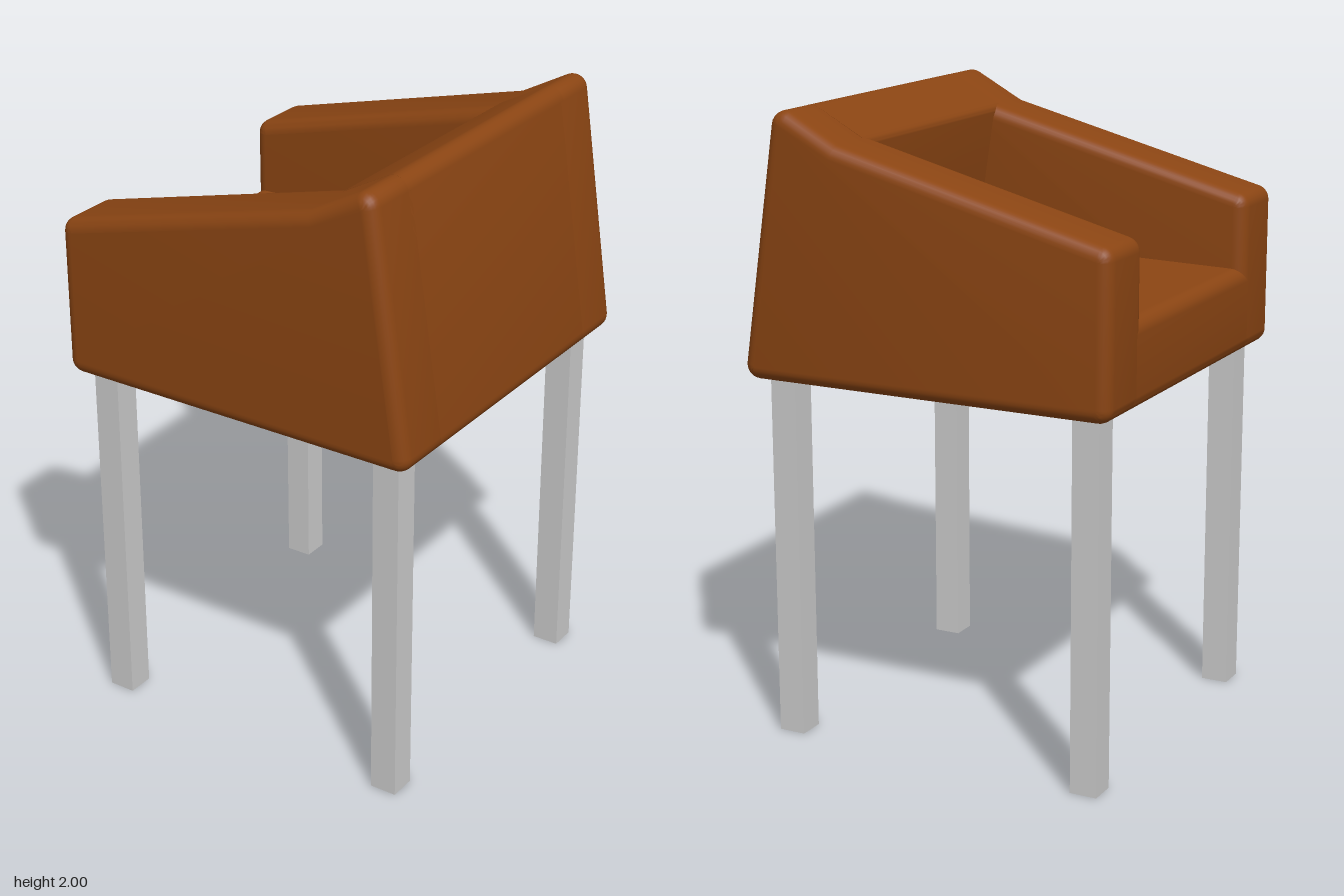
import * as THREE from 'three';
import { toCreasedNormals } from 'three/addons/utils/BufferGeometryUtils.js';

const BEVEL = 0.042;

// Closed side profile from corners [x, y, radius], with true arcs at the corners
function roundedProfile(corners, steps = 7) {
  const points = [];
  corners.forEach(([x, y, r], i) => {
    const p = new THREE.Vector2(x, y);
    if (!r) return points.push(p);
    const n = corners.length;
    const toward = (c) => new THREE.Vector2(c[0], c[1]).sub(p).normalize();
    const a = toward(corners[(i + n - 1) % n]);
    const b = toward(corners[(i + 1) % n]);
    const half = Math.acos(a.dot(b)) / 2;
    const centre = a.clone().add(b).normalize().multiplyScalar(r / Math.sin(half)).add(p);
    const reach = r / Math.tan(half);
    const start = a.multiplyScalar(reach).add(p).sub(centre);
    const end = b.multiplyScalar(reach).add(p).sub(centre);
    const turn = Math.PI - 2 * half;
    for (let k = 0; k <= steps; k++) {
      const t = k / steps;
      const w0 = Math.sin((1 - t) * turn) / Math.sin(turn);
      const w1 = Math.sin(t * turn) / Math.sin(turn);
      points.push(new THREE.Vector2(start.x * w0 + end.x * w1, start.y * w0 + end.y * w1).add(centre));
    }
  });
  return new THREE.Shape(points);
}

// Extrude a profile from z0 to z1, keeping the bevel inside the outline
function slab(shape, z0, z1, bevel) {
  const g = new THREE.ExtrudeGeometry(shape, {
    depth: z1 - z0 - 2 * bevel,
    bevelEnabled: bevel > 0,
    bevelThickness: bevel,
    bevelSize: bevel,
    bevelOffset: -bevel,
    bevelSegments: 6,
  });
  g.translate(0, 0, z0 + bevel);
  return toCreasedNormals(g, 0.6);
}

export function createModel() {
  const group = new THREE.Group();
  const upholstery = new THREE.MeshStandardMaterial({ color: 0x8b4513 });
  const legMaterial = new THREE.MeshStandardMaterial({ color: 0xcccccc });

  const add = (name, geometry, material) => {
    const mesh = new THREE.Mesh(geometry, material);
    mesh.name = name;
    group.add(mesh);
    return mesh;
  };

  const r = 0.045;

  // Side arms: full sloping side profile, rounded on every edge
  const armProfile = roundedProfile([
    [-0.62, 1.165, r], [0.625, 1.165, r], [0.495, 2.022, r],
    [0.28, 1.905, 0], [-0.62, 1.672, r],
  ]);
  add('leftArm', slab(armProfile, 0.385, 0.62, BEVEL), upholstery);
  add('rightArm', slab(armProfile, -0.62, -0.385, BEVEL), upholstery);

  // Seat and leaning backrest, one piece whose ends are buried in the arms
  const seatProfile = roundedProfile([
    [-0.62, 1.165, r], [0.625, 1.165, r], [0.495, 2.022, r],
    [0.272, 1.902, 0.03], [0.34, 1.46, 0], [-0.62, 1.44, r],
  ]);
  add('seatAndBackrest', slab(seatProfile, -0.44, 0.44, 0), upholstery);

  // Square legs, reaching a little into the body
  const legHeight = 1.2;
  const legGeometry = new THREE.BoxGeometry(0.088, legHeight, 0.088);
  const legs = [
    ['frontLeftLeg', -0.517, 0.517],
    ['frontRightLeg', -0.528, -0.528],
    ['backLeftLeg', 0.512, 0.512],
    ['backRightLeg', 0.512, -0.512],
  ];
  for (const [name, x, z] of legs) {
    add(name, legGeometry, legMaterial).position.set(x, legHeight / 2, z);
  }

  return group;
}
